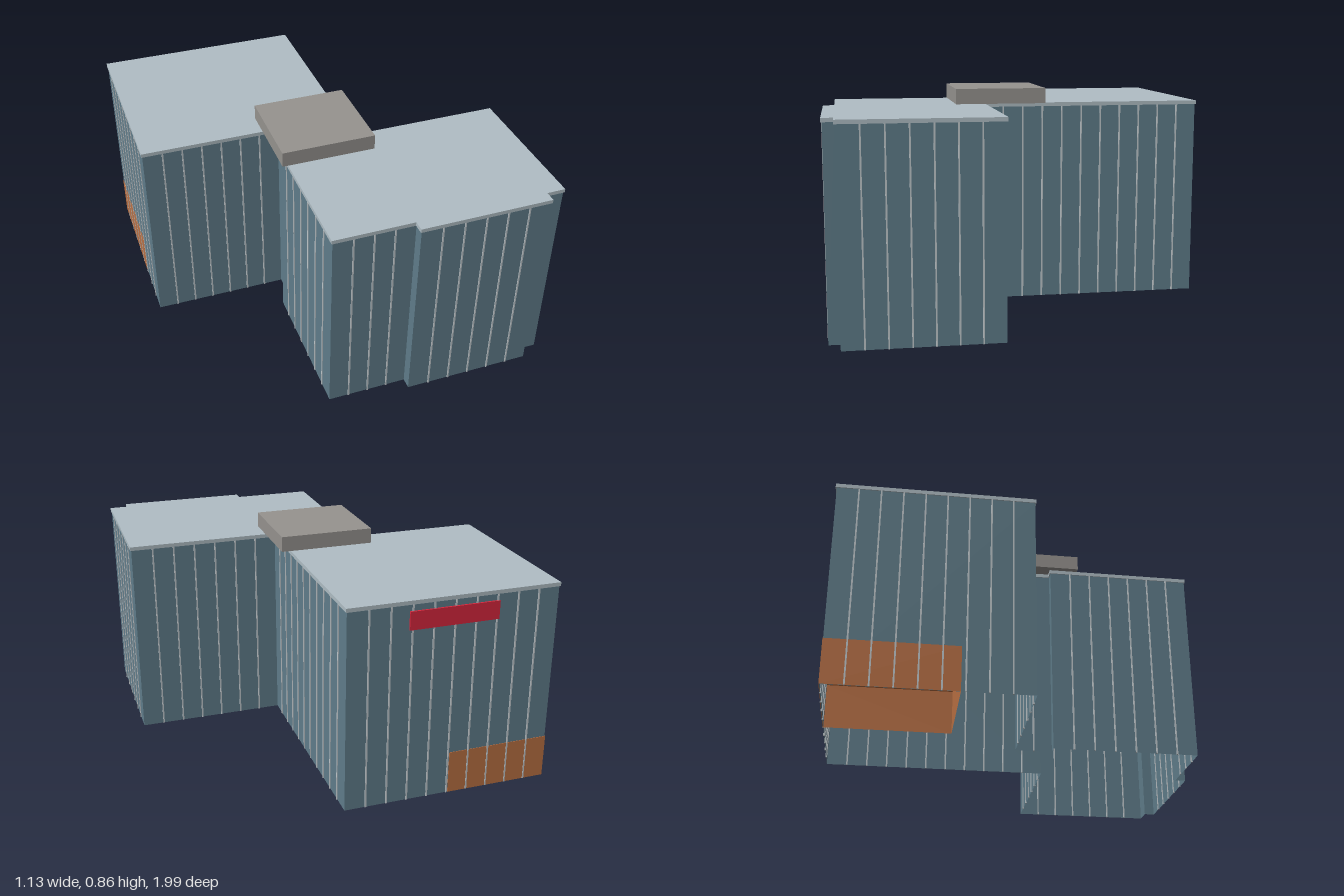
import * as THREE from 'three';

const mat = (name, color, side = THREE.FrontSide) => {
  const m = new THREE.MeshStandardMaterial({ color, side });
  m.name = name;
  return m;
};

export function createModel() {
  const wallMat = mat('blue grey cladding', 0x607d8b, THREE.DoubleSide);
  const roofMat = mat('pale roof', 0xb0bec5);
  const jointMat = mat('light joint', 0xc0c8cc);
  const boxMat = mat('warm grey', 0x96938f);
  const orangeMat = mat('copper orange', 0xba7043, THREE.DoubleSide);
  const redMat = mat('sign red', 0xd9273d);

  const model = new THREE.Group();
  model.name = 'building';
  const block = new THREE.Group();
  block.name = 'rotatedBlock';
  block.rotation.y = -THREE.MathUtils.degToRad(31.5);
  model.add(block);

  const add = (name, geo, material, x = 0, y = 0, z = 0, parent = block) => {
    const m = new THREE.Mesh(geo, material);
    m.name = name;
    m.position.set(x, y, z);
    parent.add(m);
    return m;
  };

  // Footprint: rear wing, narrow link, front wing with a shallow bay
  const plan = [
    [-0.676, -0.758], [0.146, -0.758], [0.146, 0.123], [0.738, 0.123],
    [0.738, 0.712], [0.664, 0.712], [0.664, 0.755], [0.146, 0.755],
    [0.146, 0.712], [-0.168, 0.712], [-0.168, 0.123], [-0.13, 0.123],
    [-0.13, -0.014], [-0.676, -0.014],
  ].map(([x, z]) => new THREE.Vector2(x, z));
  const roofY = 0.785, roofThick = 0.015, inset = 0.004;

  // Roof slab
  const shape = new THREE.Shape(plan.map(p => new THREE.Vector2(p.x, -p.y)));
  const roofGeo = new THREE.ExtrudeGeometry(shape, { depth: roofThick, bevelEnabled: false });
  roofGeo.rotateX(-Math.PI / 2);
  add('roof', roofGeo, roofMat, 0, roofY, 0);

  // Walls sit just inside the roof edge
  const n = plan.length;
  const normals = plan.map((p, i) => {
    const d = plan[(i + 1) % n].clone().sub(p).normalize();
    return new THREE.Vector2(d.y, -d.x);
  });
  const corners = plan.map((p, i) => p.clone()
    .addScaledVector(normals[i], -inset)
    .addScaledVector(normals[(i + n - 1) % n], -inset));

  corners.forEach((a, i) => {
    const b = corners[(i + 1) % n];
    const length = a.distanceTo(b);
    const side = new THREE.Group();
    side.name = 'facade';
    side.position.set((a.x + b.x) / 2, 0, (a.y + b.y) / 2);
    side.rotation.y = Math.atan2(normals[i].x, normals[i].y);
    block.add(side);
    add('wall', new THREE.PlaneGeometry(length, roofY), wallMat, 0, roofY / 2, 0, side);

    // Vertical joints between cladding panels
    const panels = Math.max(1, Math.round(length / 0.083));
    for (let k = 1; k < panels; k++) {
      add('panelJoint', new THREE.BoxGeometry(0.006, roofY, 0.007), jointMat,
        -length / 2 + (k * length) / panels, roofY / 2, 0, side);
    }
  });

  // Plant room on the roof above the link
  add('roofBox', new THREE.BoxGeometry(0.372, 0.06, 0.358), boxMat, -0.004, 0.83, 0.061);

  // Entrance corner at ground level, open underneath
  const u0 = -0.674, u1 = -0.271, v0 = -0.756, v1 = -0.28, h = 0.17;
  const baseGeo = new THREE.BoxGeometry(u1 - u0, h, v1 - v0);
  const index = Array.from(baseGeo.index.array);
  baseGeo.clearGroups();
  baseGeo.setIndex(index.filter((_, i) => i < 18 || i >= 24));
  add('cornerBase', baseGeo, orangeMat, (u0 + u1) / 2, h / 2, (v0 + v1) / 2);

  // Plain sign panel high on the rear face
  add('signPanel', new THREE.BoxGeometry(0.345, 0.07, 0.008), redMat, -0.262, 0.725, -0.757);

  return model;
}
